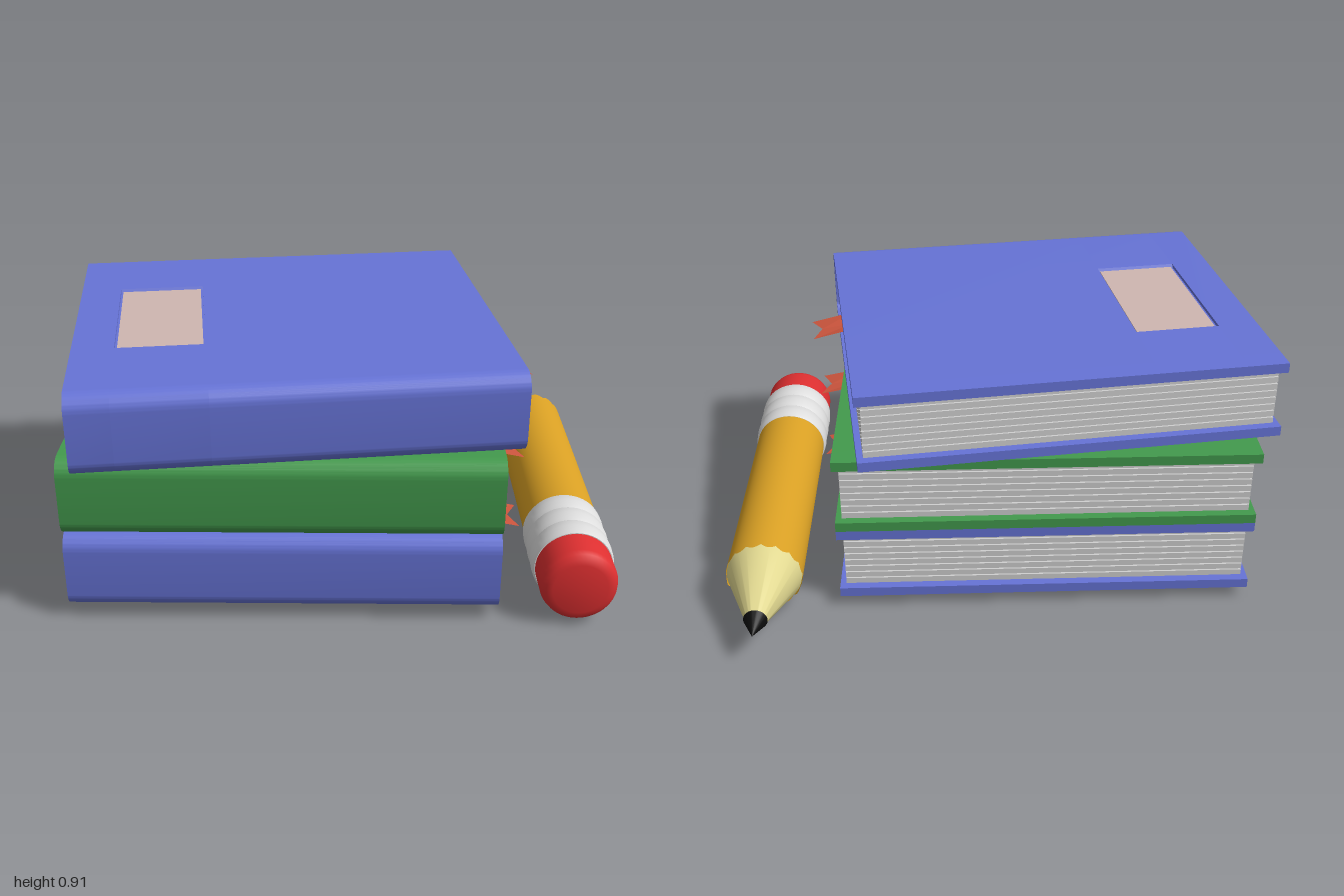
import * as THREE from 'three';
import { toCreasedNormals } from 'three/addons/utils/BufferGeometryUtils.js';

const mat = (name, color, side = THREE.FrontSide) => {
  const m = new THREE.MeshStandardMaterial({ color, side });
  m.name = name;
  return m;
};

// Book size: half width (x), half depth (z), height, cover thickness
const W = 0.7475, D = 0.65, H = 0.2875, T = 0.036;
// Recessed title panel on a cover
const PANEL = { x: -0.447, z: -0.033, hx: 0.155, hz: 0.293, depth: 0.012 };

export function createModel() {
  const blue = mat('blue cover', 0x6673d6);
  const green = mat('green cover', 0x439a4d);
  const paper = mat('paper', 0xd0d0d0);
  const panelPink = mat('panel pink', 0xcfb6b1);
  const ribbonRed = mat('ribbon', 0xcc553d, THREE.DoubleSide);
  const yellow = mat('pencil paint', 0xd9a024, THREE.DoubleSide);
  const wood = mat('bare wood', 0xe0d78f);
  const black = mat('lead', 0x0c0c0c);
  const metal = mat('metal', 0xdcdcdc);
  const red = mat('eraser red', 0xdd2f30);

  const add = (parent, name, geometry, material) => {
    const mesh = new THREE.Mesh(geometry, material);
    mesh.name = name;
    parent.add(mesh);
    return mesh;
  };

  // C-shaped cover section (shape x = book z), extruded from x1 down to x0
  const coverPiece = (x0, x1, notched) => {
    const r = 0.06, q = 0.03, s = new THREE.Shape();
    s.moveTo(-D, 0);
    s.lineTo(D - r, 0);
    s.absarc(D - r, r, r, -Math.PI / 2, 0, false);
    s.absarc(D - r, H - r, r, 0, Math.PI / 2, false);
    if (notched) {
      const { z, hz, depth } = PANEL;
      s.lineTo(z + hz, H);
      s.lineTo(z + hz - 0.008, H - depth);
      s.lineTo(z - hz + 0.008, H - depth);
      s.lineTo(z - hz, H);
    }
    s.lineTo(-D, H);
    s.lineTo(-D, H - T);
    s.absarc(D - T - q, H - T - q, q, Math.PI / 2, 0, true);
    s.absarc(D - T - q, T + q, q, 0, -Math.PI / 2, true);
    s.lineTo(-D, T);
    const g = new THREE.ExtrudeGeometry(s, { depth: x1 - x0, bevelEnabled: false, curveSegments: 8 });
    g.rotateY(-Math.PI / 2).translate(x1, 0, 0);
    return toCreasedNormals(g, 0.5);
  };

  // Swallow-tailed ribbon, creased along its middle
  const ribbonGeometry = () => {
    const z = 0.212, h = 0.077;
    const g = new THREE.BufferGeometry();
    g.setAttribute('position', new THREE.Float32BufferAttribute([
      0.70, 0.158, z - h, 0.70, 0.146, z, 0.70, 0.158, z + h,
      0.857, 0.127, z - h, 0.82, 0.131, z, 0.857, 0.127, z + h,
    ], 3));
    g.setIndex([0, 1, 3, 1, 4, 3, 1, 2, 4, 2, 5, 4]);
    const flat = g.toNonIndexed();
    flat.computeVertexNormals();
    return flat;
  };

  const makeBook = (name, cover, hasPanel) => {
    const book = new THREE.Group();
    book.name = name;
    if (hasPanel) {
      const a = PANEL.x - PANEL.hx, b = PANEL.x + PANEL.hx;
      add(book, 'coverLeft', coverPiece(-W, a, false), cover);
      add(book, 'coverMiddle', coverPiece(a, b, true), cover);
      add(book, 'coverRight', coverPiece(b, W, false), cover);
      add(book, 'titlePanel', new THREE.BoxGeometry(PANEL.hx * 2 - 0.016, 0.006, PANEL.hz * 2 - 0.016), panelPink)
        .position.set(PANEL.x, H - PANEL.depth, PANEL.z);
    } else {
      add(book, 'cover', coverPiece(-W, W, false), cover);
    }

    // Page block: thick leaves separated by thin set-back gaps
    const leaves = 8, step = (H - 2 * T) / leaves, gap = 0.005;
    const px = W - 0.022, zBack = -D + 0.028, zFront = D - T + 0.003;
    add(book, 'pageCore', new THREE.BoxGeometry(2 * px - 0.014, H - 2 * T, zFront - zBack - 0.014), paper)
      .position.set(0, H / 2, (zFront + zBack) / 2);
    for (let i = 0; i < leaves; i++) {
      add(book, 'pages', new THREE.BoxGeometry(2 * px, step - gap, zFront - zBack), paper)
        .position.set(0, T + (i + 0.5) * step, (zFront + zBack) / 2);
    }
    add(book, 'bookmark', ribbonGeometry(), ribbonRed);
    return book;
  };

  const model = new THREE.Group();
  model.name = 'booksAndPencil';

  // Stack of three books, the top one turned
  const books = [
    ['bottomBook', blue, -0.1675, 0.1, 0],
    ['middleBook', green, -0.1675, 0.1, 0],
    ['topBook', blue, -0.177, 0.126, 0.128],
  ];
  books.forEach(([name, cover, x, z, turn], i) => {
    const book = makeBook(name, cover, i === 2);
    book.position.set(x, 0.046 + i * H, z);
    book.rotation.y = turn;
    model.add(book);
  });

  // Pencil, turned about y with the tip up, then laid down pointing back
  const pencil = new THREE.Group();
  pencil.name = 'pencil';
  const lathe = (name, pts, material) => add(pencil, name,
    toCreasedNormals(new THREE.LatheGeometry(pts.map(p => new THREE.Vector2(p[0], p[1])), 48), 0.6), material);

  lathe('eraser', [[0, -0.775], [0.095, -0.775], [0.115, -0.769], [0.129, -0.755], [0.135, -0.735], [0.135, -0.6]], red);

  // Ferrule: three bulged bands
  const bands = [[0.12, -0.632]];
  for (let i = 0; i < 3; i++) {
    const y = -0.632 + i * 0.091;
    bands.push([0.138, y], [0.144, y + 0.012], [0.146, y + 0.045], [0.144, y + 0.079], [0.138, y + 0.091]);
  }
  bands.push([0.12, -0.359]);
  lathe('ferrule', bands, metal);

  // Painted body with a scalloped front edge
  const body = new THREE.CylinderGeometry(0.137, 0.137, 0.9, 96, 1, true);
  body.translate(0, 0.09, 0);
  const p = body.attributes.position;
  for (let i = 0; i < p.count; i++) {
    if (p.getY(i) < 0) continue;
    const angle = Math.atan2(p.getX(i), p.getZ(i));
    p.setY(i, 0.532 + 0.016 * Math.abs(Math.sin(angle * 8)));
  }
  add(pencil, 'body', body, yellow);

  lathe('sharpenedWood', [[0.1345, 0.50], [0.1345, 0.54], [0.036, 0.785]], wood);
  lathe('lead', [[0.03, 0.779], [0.042, 0.783], [0, 0.87]], black);

  pencil.rotation.x = -(Math.PI / 2 + 0.012);
  pencil.position.set(0.85, 0.146, 0);
  model.add(pencil);

  return model;
}
